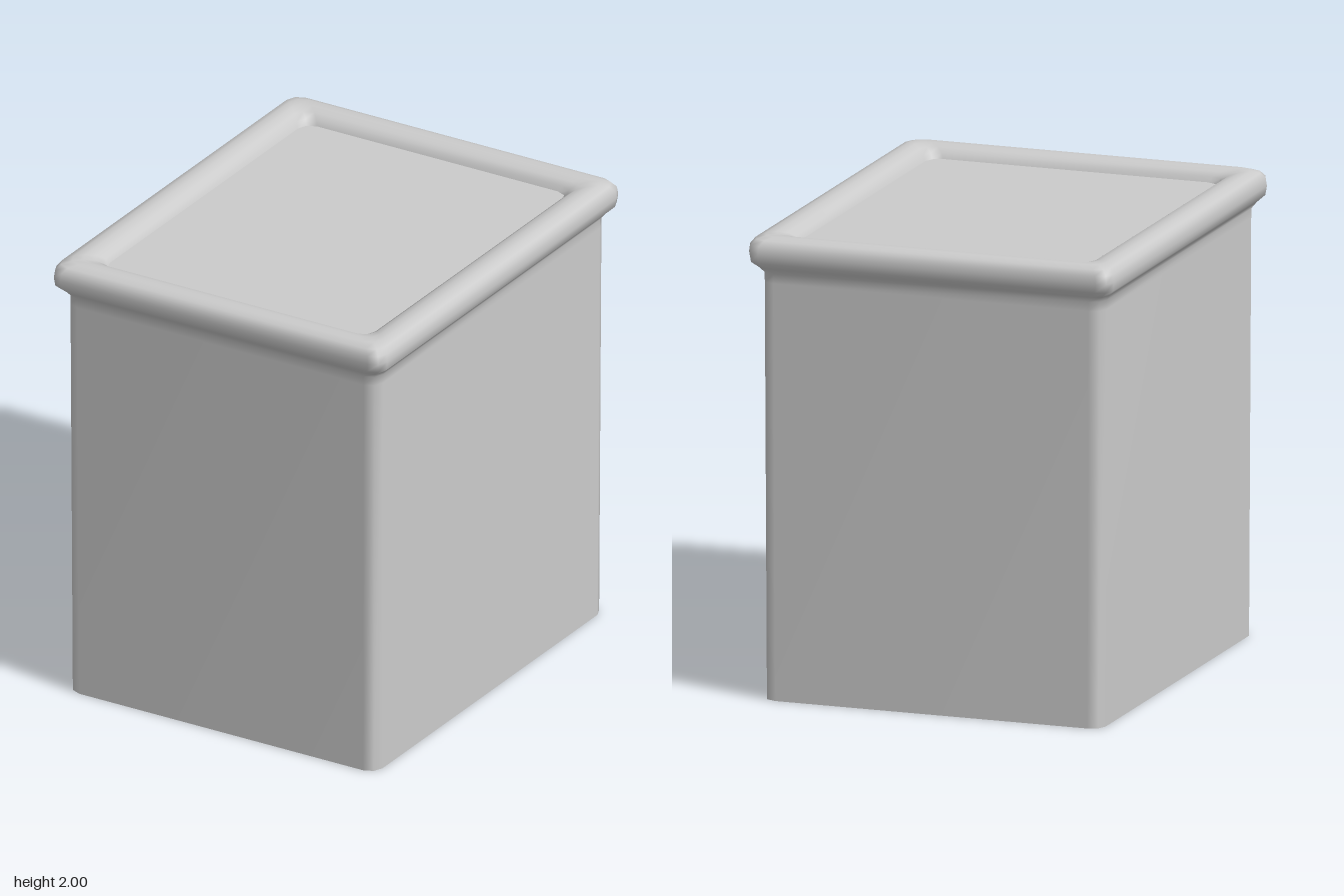
import * as THREE from 'three';

const material = new THREE.MeshStandardMaterial({ color: 0xcccccc, side: THREE.DoubleSide });

// Half sizes of the inner opening, corner radius and segments per corner
const HX = 0.65, HZ = 0.812, R = 0.06, SEG = 2;

// Rounded rectangle, d wider than the opening, as [x, z] points
function outline(d) {
  const points = [];
  [[1, 1], [-1, 1], [-1, -1], [1, -1]].forEach(([sx, sz], corner) => {
    for (let k = 0; k <= SEG; k++) {
      const a = (corner + k / SEG) * Math.PI / 2;
      points.push([
        sx * (HX + d - R) + R * Math.cos(a),
        sz * (HZ + d - R) + R * Math.sin(a),
      ]);
    }
  });
  return points;
}

// Skin over a profile of [offset, y] pairs swept round the outline
function loft(name, profile) {
  const positions = [], index = [];
  const n = 4 * (SEG + 1);
  for (const [d, y] of profile) {
    for (const [x, z] of outline(d)) positions.push(x, y, z);
  }
  for (let i = 0; i < profile.length - 1; i++) {
    for (let j = 0; j < n; j++) {
      const a = i * n + j, b = i * n + (j + 1) % n;
      index.push(a, a + n, b, b, a + n, b + n);
    }
  }
  const geometry = new THREE.BufferGeometry();
  geometry.setAttribute('position', new THREE.Float32BufferAttribute(positions, 3));
  geometry.setIndex(index);
  geometry.computeVertexNormals();
  const mesh = new THREE.Mesh(geometry, material);
  mesh.name = name;
  return mesh;
}

export function createModel() {
  const group = new THREE.Group();
  group.name = 'container';

  // Outer walls with a slight taper, flaring into the rolled rim
  group.add(loft('wallsAndRim', [
    [0.107, 0], [0.114, 1.8], [0.114, 1.84], [0.132, 1.865], [0.16, 1.892],
    [0.165, 1.93], [0.161, 1.965], [0.143, 1.988], [0.11, 2], [0.075, 2],
    [0.04, 1.99], [0.014, 1.972], [0, 1.94],
  ]));

  // Inner walls, open at the bottom
  group.add(loft('innerWalls', [[0, 1.94], [0, 0]]));

  // Flat edge under the walls
  group.add(loft('bottomEdge', [[0, 0], [0.107, 0]]));

  // Panel closing the top, just below the rim
  const shape = new THREE.Shape(outline(0).map(([x, z]) => new THREE.Vector2(x, -z)));
  const panel = new THREE.Mesh(new THREE.ShapeGeometry(shape), material);
  panel.name = 'topPanel';
  panel.rotation.x = -Math.PI / 2;
  panel.position.y = 1.95;
  group.add(panel);

  return group;
}
